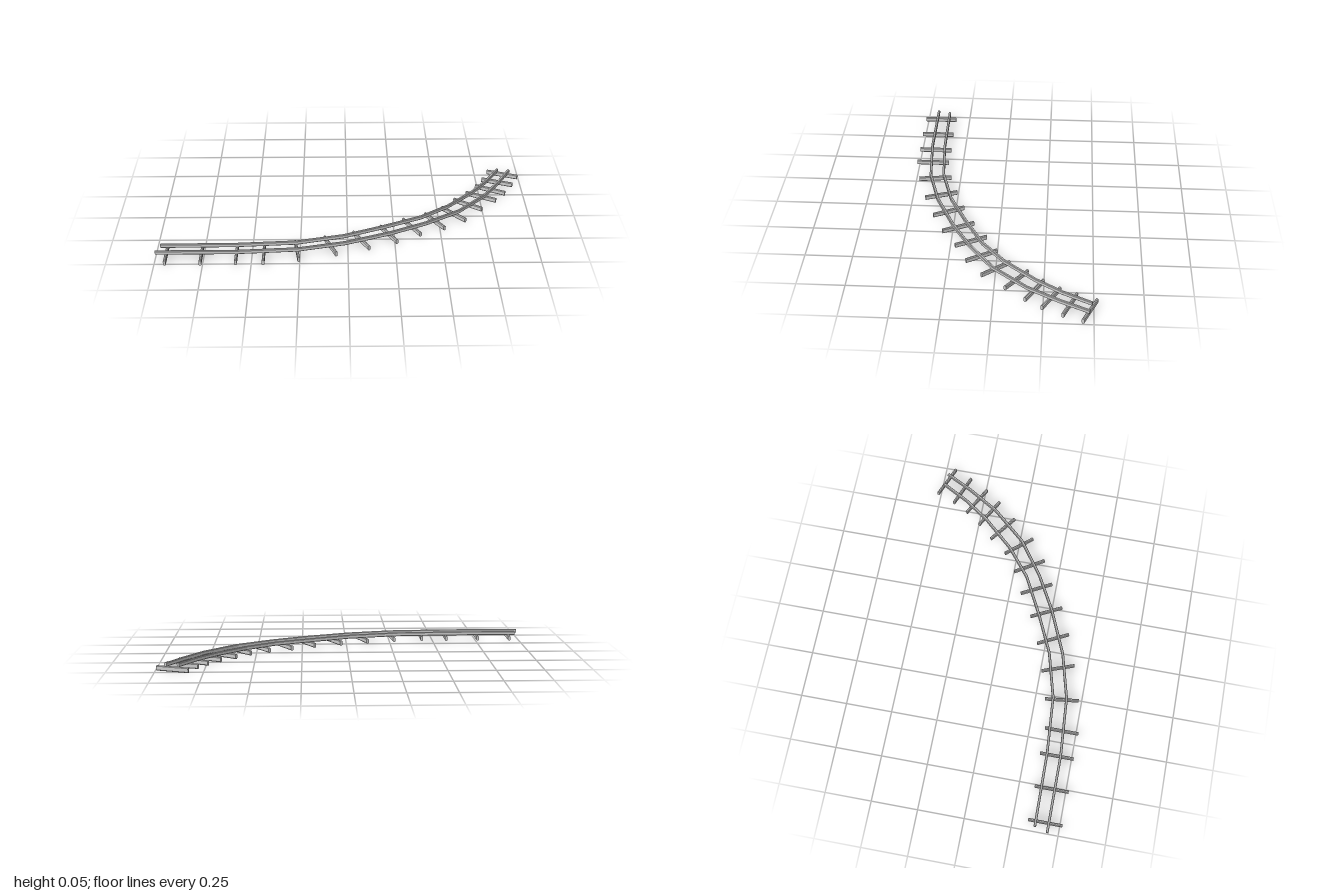
import * as THREE from 'three';

const material = new THREE.MeshStandardMaterial({ color: 0xcccccc, flatShading: true });

// Sweeps a section of [sideways, y] corners along an [x, z] path with mitred joints
function sweep(name, path, section) {
  const direction = (a, b) => new THREE.Vector2(b[0] - a[0], b[1] - a[1]).normalize();
  const last = path.length - 1, n = section.length;
  const positions = [], index = [];
  path.forEach(([x, z], i) => {
    const before = direction(path[Math.max(i - 1, 0)], path[Math.max(i, 1)]);
    const after = direction(path[Math.min(i, last - 1)], path[Math.min(i + 1, last)]);
    const t = before.clone().add(after).normalize();
    const miter = 1 / t.dot(before);
    for (const [u, y] of section) positions.push(x - t.y * u * miter, y, z + t.x * u * miter);
  });
  for (let i = 0; i < last; i++) {
    for (let j = 0; j < n; j++) {
      const a = i * n + j, b = i * n + (j + 1) % n;
      index.push(a, a + n, b + n, a, b + n, b);
    }
  }
  // End caps
  const e = last * n;
  for (let j = 1; j < n - 1; j++) index.push(0, j, j + 1, e, e + j + 1, e + j);
  const geometry = new THREE.BufferGeometry();
  geometry.setAttribute('position', new THREE.Float32BufferAttribute(positions, 3));
  geometry.setIndex(index);
  const flat = geometry.toNonIndexed();
  flat.computeVertexNormals();
  const mesh = new THREE.Mesh(flat, material);
  mesh.name = name;
  return mesh;
}

// Box section with chamfered corners
function chamfered(width, bottom, top, c) {
  const w = width / 2;
  return [
    [-w + c, bottom], [w - c, bottom], [w, bottom + c], [w, top - c],
    [w - c, top], [-w + c, top], [-w, top - c], [-w, bottom + c],
  ];
}

export function createModel() {
  const track = new THREE.Group();
  track.name = 'curvedTrack';

  // Two rails
  const railSection = chamfered(0.014, 0.026, 0.047, 0.003);
  track.add(sweep('outerRail', [
    [-1, 0.441], [-0.58, 0.44], [-0.26, 0.417], [-0.015, 0.354], [0.23, 0.25],
    [0.42, 0.147], [0.61, 0.013], [0.77, -0.168], [0.87, -0.334], [0.945, -0.48],
  ], railSection));
  track.add(sweep('innerRail', [
    [-0.98, 0.372], [-0.58, 0.367], [-0.27, 0.345], [-0.02, 0.28], [0.19, 0.185],
    [0.4, 0.078], [0.555, -0.045], [0.705, -0.21], [0.8, -0.345], [0.88, -0.492],
  ], railSection));

  // Cross ties: centre x, centre z, turn in degrees
  const ties = [
    [-0.945, 0.422, 0], [-0.762, 0.424, 0], [-0.58, 0.42, 0], [-0.438, 0.422, 0],
    [-0.266, 0.393, 7], [-0.092, 0.342, 20], [0.071, 0.286, 27], [0.22, 0.222, 27],
    [0.348, 0.144, 28], [0.476, 0.08, 32], [0.586, 0, 40], [0.674, -0.11, 53],
    [0.757, -0.203, 61], [0.818, -0.288, 61], [0.868, -0.382, 68], [0.909, -0.481, 67.5],
  ];
  const tieSection = chamfered(0.014, 0, 0.027, 0.004);
  for (const [x, z, degrees] of ties) {
    const a = THREE.MathUtils.degToRad(degrees), half = 0.091;
    const dx = Math.sin(a) * half, dz = Math.cos(a) * half;
    track.add(sweep('tie', [[x - dx, z - dz], [x + dx, z + dz]], tieSection));
  }
  return track;
}
